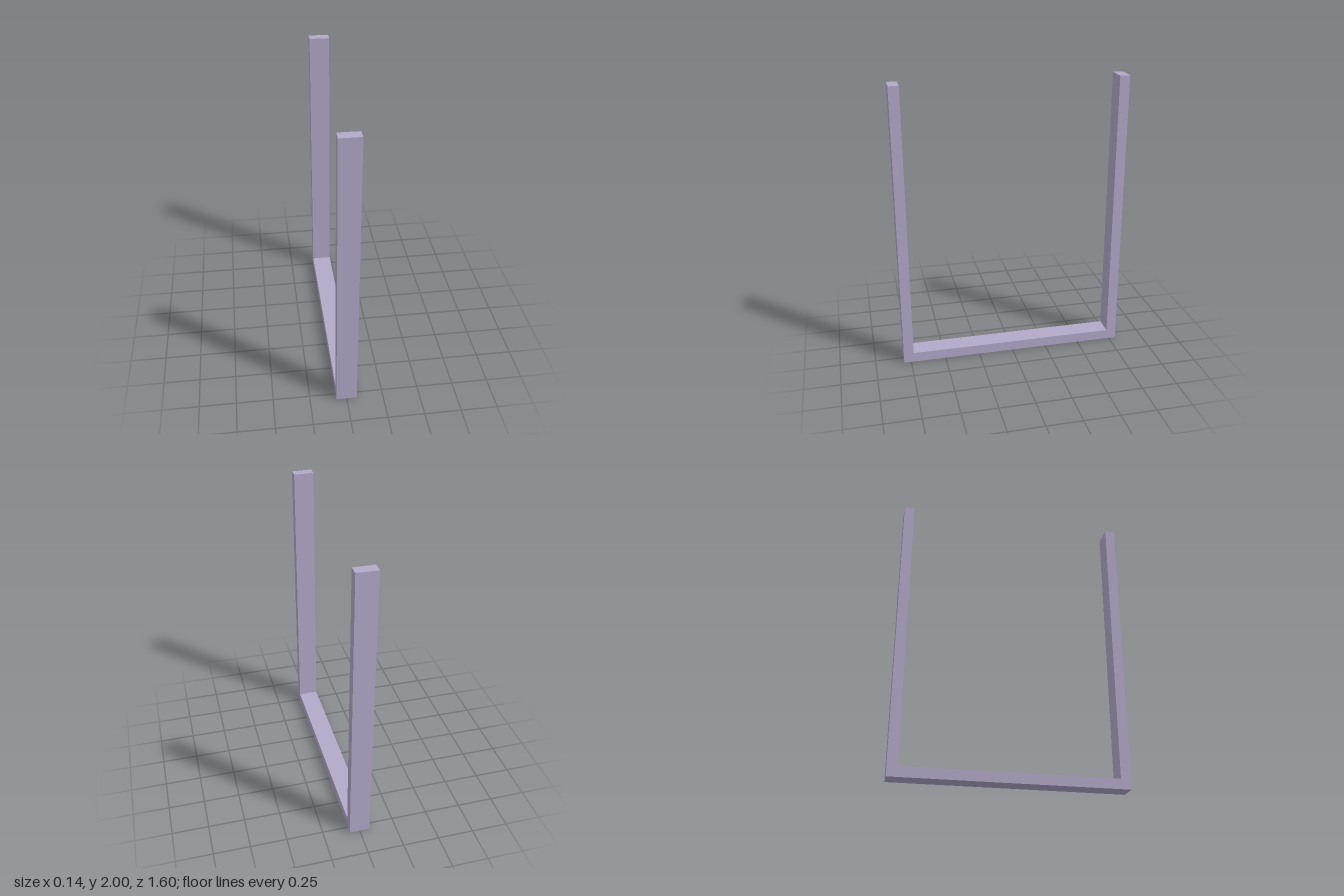
import * as THREE from 'three';

const HEIGHT = 2, HALF_DEPTH = 0.8, WIDTH = 0.14, BAR = 0.07;

export function createModel() {
  const group = new THREE.Group();
  group.name = 'uFrame';

  // U-shaped outline: two uprights joined by a bottom bar
  const inner = HALF_DEPTH - BAR;
  const outline = new THREE.Shape([
    [-HALF_DEPTH, 0], [HALF_DEPTH, 0], [HALF_DEPTH, HEIGHT], [inner, HEIGHT],
    [inner, BAR], [-inner, BAR], [-inner, HEIGHT], [-HALF_DEPTH, HEIGHT],
  ].map(([x, y]) => new THREE.Vector2(x, y)));

  // Extruded across the width, then turned so the U spans front to back
  const geometry = new THREE.ExtrudeGeometry(outline, { depth: WIDTH, bevelEnabled: false });
  geometry.translate(0, 0, -WIDTH / 2);
  geometry.rotateY(Math.PI / 2);

  const frame = new THREE.Mesh(geometry, new THREE.MeshStandardMaterial({ color: 0xb3a9c9 }));
  frame.name = 'frame';
  group.add(frame);
  return group;
}
